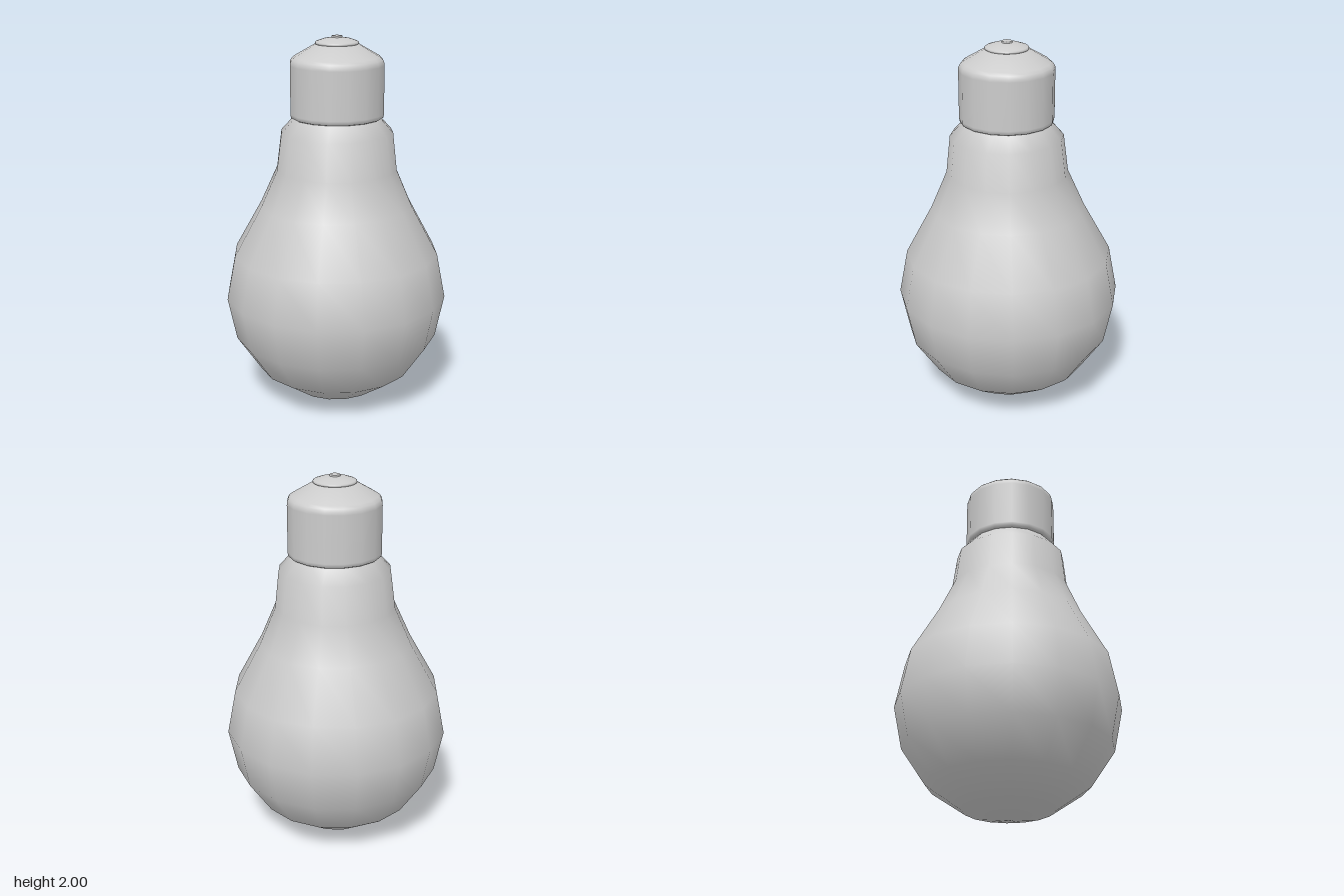
import * as THREE from 'three';

const material = new THREE.MeshStandardMaterial({ color: 0xcccccc, side: THREE.DoubleSide });
const AXIS_X = 0.012; // the screw base sits slightly off the bulb's axis

// Revolves [radius, height] pairs, listed from bottom to top.
function turned(name, profile, sides) {
  const points = profile.map(([r, y]) => new THREE.Vector2(r, y));
  const mesh = new THREE.Mesh(new THREE.LatheGeometry(points, sides), material);
  mesh.name = name;
  return mesh;
}

export function createModel() {
  const group = new THREE.Group();
  group.name = 'lightBulb';

  // Glass envelope: round bulb tapering into a neck
  const glass = turned('glass', [
    [0, 0], [0.235, 0.05], [0.425, 0.18], [0.553, 0.37], [0.6, 0.6],
    [0.553, 0.84], [0.41, 1.1], [0.322, 1.3], [0.298, 1.5], [0.225, 1.58],
  ], 16);

  // Ease the neck over to the axis of the base
  const pos = glass.geometry.attributes.position;
  for (let i = 0; i < pos.count; i++) {
    const t = THREE.MathUtils.clamp((pos.getY(i) - 0.95) / 0.5, 0, 1);
    pos.setX(i, pos.getX(i) + AXIS_X * t);
  }

  // Cylindrical base with softened rims and a sloped shoulder
  const base = turned('base', [
    [0.2, 1.575], [0.235, 1.575], [0.245, 1.58], [0.248, 1.595], [0.248, 1.6],
    [0.248, 1.85], [0.247, 1.865], [0.24, 1.88], [0.225, 1.893],
    [0.115, 1.957], [0, 1.957],
  ], 16);

  // Contact disc with a low dome
  const contact = turned('contact', [
    [0, 1.955], [0.106, 1.955], [0.113, 1.959], [0.113, 1.966], [0.108, 1.971],
    [0.07, 1.984], [0.03, 1.991], [0, 1.991],
  ], 32);

  // Solder tip
  const tip = turned('contactTip', [
    [0.028, 1.985], [0.028, 1.997], [0.025, 2], [0, 2],
  ], 24);

  for (const part of [base, contact, tip]) part.position.x = AXIS_X;
  group.add(glass, base, contact, tip);
  return group;
}
